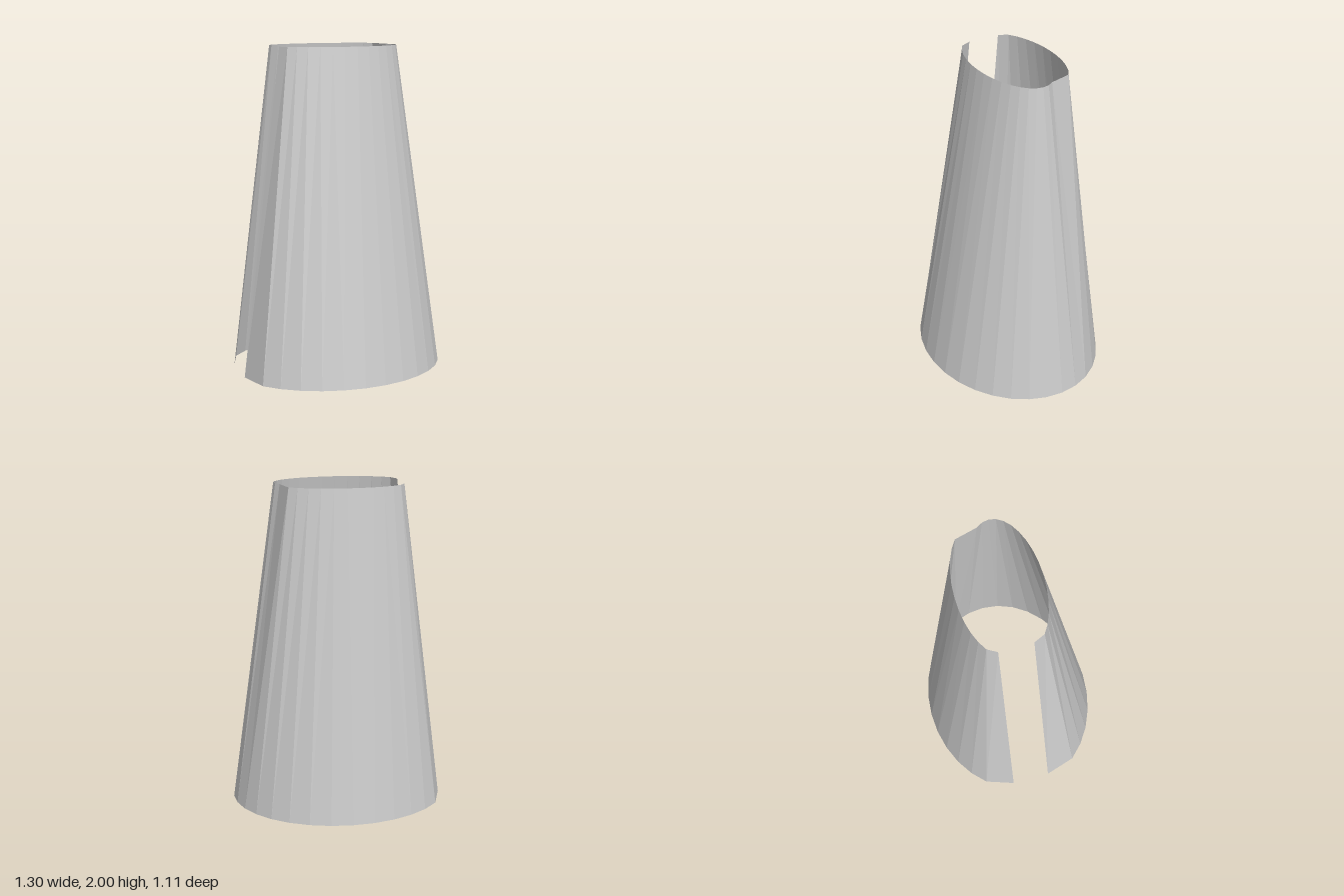
import * as THREE from 'three';

const CENTRE_X = -0.03;
const STEP = Math.PI / 16; // 32-sided ellipse
const LAST = 13; // last regular point on each side of the slot

// Matching points on the lower and upper rims, from the back slot edge round to the front one
function rimPoints() {
  const bottom = [[-0.655, 0, -0.13]];
  const top = [[-0.395, 2, -0.155]];
  for (let i = -LAST; i <= LAST; i++) {
    const c = Math.cos(i * STEP), s = Math.sin(i * STEP);
    // the back of the upper rim is pushed outwards
    const shift = i <= -3 ? -0.1 : 0;
    bottom.push([CENTRE_X + 0.68 * c, 0, 0.553 * s]);
    top.push([CENTRE_X + 0.4 * c, 2, 0.2 * s + shift]);
  }
  bottom.push([-0.655, 0, 0.115]);
  top.push([-0.393, 2, 0.045]);
  return { bottom, top };
}

export function createModel() {
  const group = new THREE.Group();
  group.name = 'slottedTaperedSleeve';

  // Ruled wall between the rims, left open at the slot and at both ends
  const { bottom, top } = rimPoints();
  const positions = [];
  const indices = [];
  bottom.forEach((p, i) => {
    positions.push(...p, ...top[i]);
    if (i === 0) return;
    const a = 2 * (i - 1), b = 2 * i;
    indices.push(a, a + 1, b, a + 1, b + 1, b);
  });
  const geometry = new THREE.BufferGeometry();
  geometry.setAttribute('position', new THREE.Float32BufferAttribute(positions, 3));
  geometry.setIndex(indices);
  geometry.computeVertexNormals();

  const wall = new THREE.Mesh(
    geometry,
    new THREE.MeshStandardMaterial({ color: 0xcccccc, flatShading: true, side: THREE.DoubleSide })
  );
  wall.name = 'sleeveWall';
  group.add(wall);
  return group;
}
